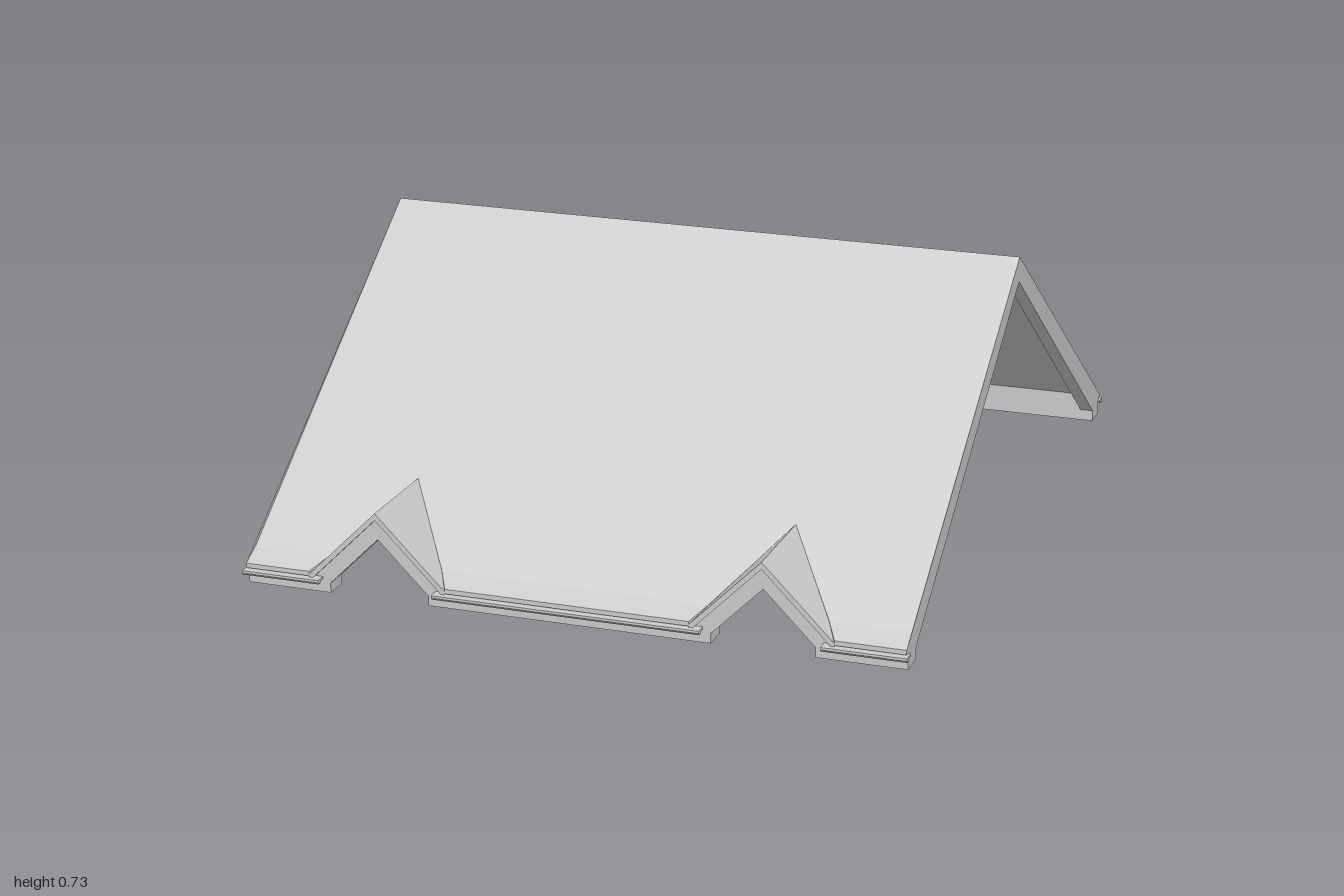
import * as THREE from 'three';

const HALF = 0.845;            // half length of the roof along x
const SHEET = 0.022;           // vertical thickness of the roof sheets
const DORMERS = [-0.495, 0.49];
const material = new THREE.MeshStandardMaterial({ color: 0xcccccc, flatShading: true });

function add(parent, geometry, name) {
  const mesh = new THREE.Mesh(geometry, material);
  mesh.name = name;
  parent.add(mesh);
  return mesh;
}

// Extrudes a [z, y] profile from x0 to x1
function extrudeX(points, x0, x1) {
  const shape = new THREE.Shape(points.map(([z, y]) => new THREE.Vector2(z, y)));
  return new THREE.ExtrudeGeometry(shape, { depth: x1 - x0, bevelEnabled: false })
    .rotateY(-Math.PI / 2).translate(x1, 0, 0);
}

// Joins closed [z, y] loops placed at increasing x
function loftX(xs, section) {
  const positions = [], index = [];
  const loops = xs.map(section);
  const n = loops[0].length, last = (xs.length - 1) * n;
  loops.forEach((loop, i) => loop.forEach(([z, y]) => positions.push(xs[i], y, z)));
  for (let i = 0; i < xs.length - 1; i++) {
    for (let k = 0; k < n; k++) {
      const a = i * n + k, a1 = i * n + (k + 1) % n;
      index.push(a, a1, a1 + n, a, a1 + n, a + n);
    }
  }
  for (let k = 1; k < n - 1; k++) {
    index.push(0, k + 1, k, last, last + k, last + k + 1);
  }
  const geometry = new THREE.BufferGeometry();
  geometry.setAttribute('position', new THREE.Float32BufferAttribute(positions, 3));
  geometry.setIndex(index);
  const flat = geometry.toNonIndexed();
  flat.computeVertexNormals();
  return flat;
}

// Height of the main roof, with a flatter flare at the eave
const roofY = z => z < 0.93 ? 0.73 - 0.699 * z : 0.08 - 0.455 * (z - 0.93);

// Where the main roof meets a dormer, by distance from the dormer's middle
function valleyZ(d) {
  if (d >= 0.18) return 0.985;
  return d > 0.15 ? 0.93 + (d - 0.15) / 0.03 * 0.055 : 0.72 + d / 0.15 * 0.21;
}

// One roof slope facing +z, interrupted by dormers at the given x
function makeSlope(name, dormers) {
  const slope = new THREE.Group();
  slope.name = name;

  // Roof sheet, notched behind each dormer
  const xs = [-HALF, ...dormers.flatMap(c => [-0.18, -0.15, 0, 0.15, 0.18].map(d => c + d)), HALF];
  add(slope, loftX(xs, x => {
    const end = Math.min(0.985, ...dormers.map(c => valleyZ(Math.abs(x - c))));
    const top = [0, Math.min(0.93, end), end].map(z => [z, roofY(z)]);
    const bottom = top.map(([z, y]) => [z, y - (z > 0.96 ? 0.012 : SHEET)]).reverse();
    return [...top, ...bottom];
  }), 'roofSheet');

  // Ribs along both gable ends
  const rib = [[0, 0.73], [0.93, 0.08], [0.985, 0.055], [0.985, 0.045], [0.97, 0.04],
    [0.97, 0], [0.905, 0], [0.905, 0.03], [0, 0.665]];
  add(slope, extrudeX(rib, -HALF, -HALF + 0.035), 'gableRib');
  add(slope, extrudeX(rib, HALF - 0.035, HALF), 'gableRib');

  // Wall plates and gutters between the dormers
  const plate = [[0.905, 0], [0.97, 0], [0.97, 0.055], [0.905, 0.085]];
  const gutter = [[0.965, 0.034], [0.982, 0.034], [0.987, 0.028], [0.995, 0.028],
    [1, 0.034], [1, 0.04], [0.965, 0.04]];
  for (let i = 0; i <= dormers.length; i++) {
    const from = i > 0 ? dormers[i - 1] : null;
    const to = i < dormers.length ? dormers[i] : null;
    const span = (edge, gap) => [from === null ? -edge : from + gap, to === null ? edge : to - gap];
    add(slope, extrudeX(plate, ...span(HALF, 0.13)), 'wallPlate');
    add(slope, extrudeX(gutter, ...span(0.85, 0.15)), 'gutter');
  }

  dormers.forEach(c => slope.add(makeDormer(c)));
  return slope;
}

// Small pitched dormer with an open front
function makeDormer(x) {
  const dormer = new THREE.Group();
  dormer.name = 'dormer';
  dormer.position.x = x;

  // Pitched sheet running back into the main roof
  add(dormer, loftX([-0.18, -0.15, 0, 0.15, 0.18], d => {
    const y = 0.228 - Math.abs(d), back = valleyZ(Math.abs(d));
    return [[back, y], [0.985, y], [0.985, y - 0.018], [back, y - 0.018]];
  }), 'dormerSheet');

  // Thick frame around the opening
  const half = [[0.13, 0], [0.165, 0], [0.165, 0.05], [0, 0.215]];
  const inner = [[0, 0.155], [0.13, 0.025]];
  [-1, 1].forEach(s => {
    const shape = new THREE.Shape([...half, ...inner].map(([px, py]) => new THREE.Vector2(s * px, py)));
    add(dormer, new THREE.ExtrudeGeometry(shape, { depth: 0.065, bevelEnabled: false })
      .translate(0, 0, 0.905), 'dormerFrame');
  });
  return dormer;
}

export function createModel() {
  const model = new THREE.Group();
  model.name = 'roof';
  model.add(makeSlope('frontSlope', DORMERS));
  const back = makeSlope('backSlope', []);
  back.rotation.y = Math.PI;
  model.add(back);
  return model;
}
